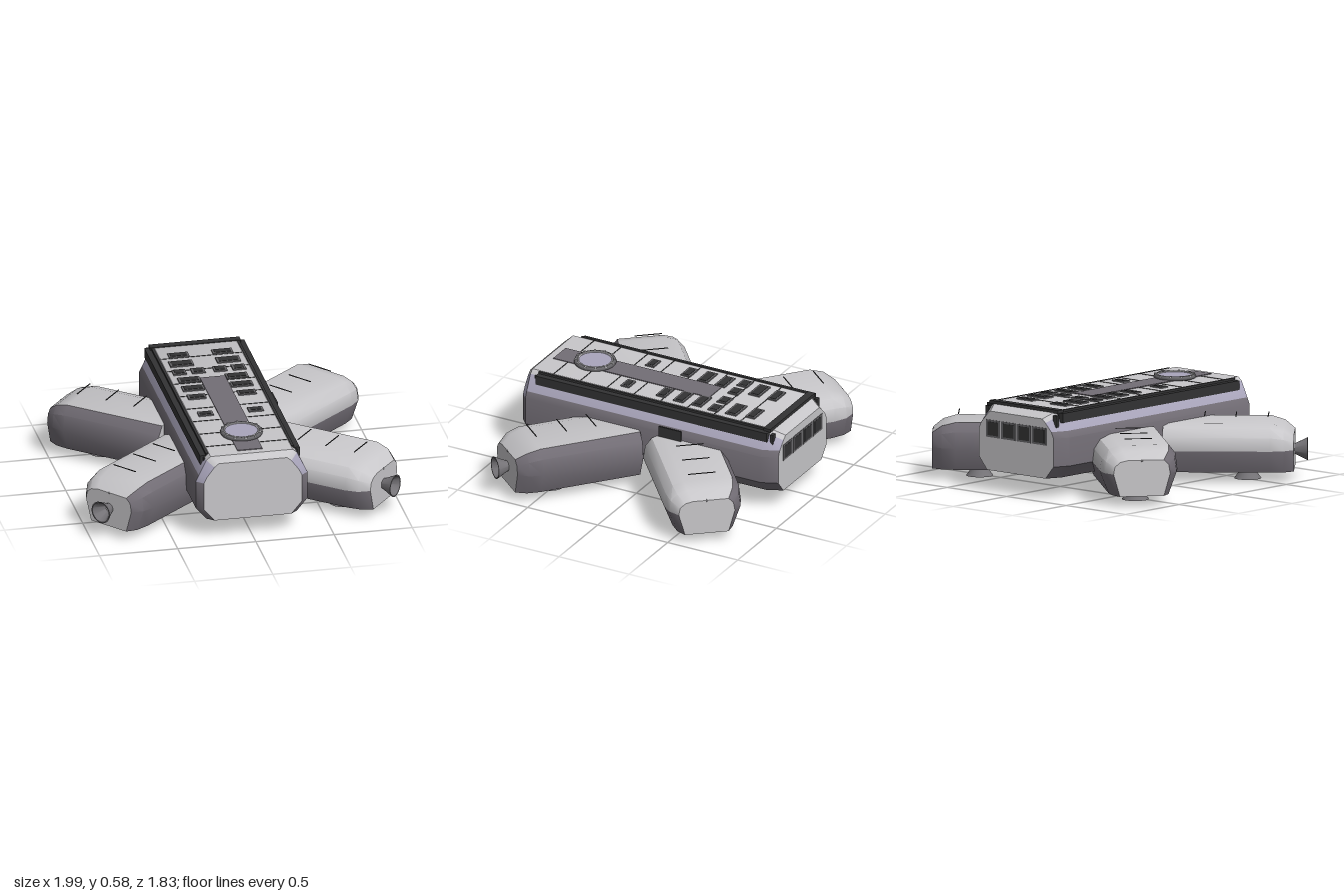
import * as THREE from 'three';
import { toCreasedNormals } from 'three/addons/utils/BufferGeometryUtils.js';

const mat = (name, color, side = THREE.FrontSide) => {
  const m = new THREE.MeshStandardMaterial({ color, side });
  m.name = name;
  return m;
};

export function createModel() {
  const light = mat('light grey panel', 0xc8c7ca);
  const lavender = mat('lavender trim', 0xaaa6bc);
  const hullGrey = mat('purple grey hull', 0x736e76);
  const dark = mat('dark glass and rails', 0x333334);
  const frame = mat('window frame grey', 0x666568);
  const nozzleGrey = mat('nozzle grey', 0x757377, THREE.DoubleSide);

  const root = new THREE.Group();
  root.name = 'starship';

  const add = (parent, name, geo, m, x = 0, y = 0, z = 0) => {
    const mesh = new THREE.Mesh(geo, m);
    mesh.name = name;
    mesh.position.set(x, y, z);
    parent.add(mesh);
    return mesh;
  };
  const box = (parent, name, w, h, d, m, x, y, z) =>
    add(parent, name, new THREE.BoxGeometry(w, h, d), m, x, y, z);

  // Skin a run of [x, y, z] rings; pick(station, edge) gives the colour index
  function loft(rings, pick, capIndex, count) {
    const buckets = Array.from({ length: count }, () => []);
    const n = rings[0].length;
    const tri = (k, ...pts) => pts.forEach((p) => buckets[k].push(...p));
    for (let i = 0; i < rings.length - 1; i++) {
      for (let j = 0; j < n; j++) {
        const k = (j + 1) % n;
        const a = rings[i][j], b = rings[i][k], c = rings[i + 1][k], d = rings[i + 1][j];
        tri(pick(i, j), a, b, c);
        tri(pick(i, j), a, c, d);
      }
    }
    const first = rings[0], last = rings[rings.length - 1];
    for (let j = 1; j < n - 1; j++) {
      tri(capIndex, first[0], first[j + 1], first[j]);
      tri(capIndex, last[0], last[j], last[j + 1]);
    }
    const geo = new THREE.BufferGeometry();
    geo.setAttribute('position', new THREE.Float32BufferAttribute(buckets.flat(), 3));
    let start = 0;
    buckets.forEach((b, k) => {
      geo.addGroup(start, b.length / 3, k);
      start += b.length / 3;
    });
    return toCreasedNormals(geo, 0.55);
  }

  // Main hull: chamfered section with bevelled nose and stern
  const half = [[0.29, 0.13], [0.357, 0.21], [0.357, 0.39], [0.338, 0.43], [0.29, 0.53], [0.262, 0.553]];
  const section = [...half, ...half.slice().reverse().map(([x, y]) => [-x, y])];
  const hullRing = (z, inset, drop) => section.map(([x, y]) =>
    [x - Math.sign(x) * inset, y > 0.5 ? y - drop : y, z]);
  const hullRings = [hullRing(-0.91, 0.044, 0.048), hullRing(-0.81, 0, 0),
    hullRing(0.872, 0, 0), hullRing(0.912, 0.044, 0.035)];
  const hullColour = [0, 0, 0, 1, 2, 2, 2, 1, 0, 0, 0, 0];
  const noseColour = [0, 0, 1, 1, 2, 2, 2, 1, 1, 0, 0, 0];
  add(root, 'hull', loft(hullRings, (i, j) => (i === 2 ? noseColour : hullColour)[j], 2, 3),
    [hullGrey, lavender, light]);

  // Roof: walkway strip and panel seams
  const roofY = 0.553;
  box(root, 'roofStrip', 0.16, 0.006, 1.115, hullGrey, 0, roofY + 0.002, 0.268);
  for (let i = 0; i < 8; i++) {
    box(root, 'roofSeam', 0.52, 0.003, 0.006, dark, 0, roofY + 0.001, -0.615 + i * 0.191);
  }

  // Roof windows: [x, z, width, depth], mirrored
  const roofWindows = [[0.14, -0.647, 0.13, 0.065], [0.15, -0.52, 0.15, 0.078],
    [0.07, -0.395, 0.085, 0.072], [0.19, -0.395, 0.085, 0.072], [0.152, -0.272, 0.14, 0.072],
    [0.155, -0.145, 0.14, 0.072], [0.16, -0.015, 0.115, 0.065], [0.16, 0.245, 0.095, 0.06]];
  for (const s of [-1, 1]) {
    for (const [x, z, w, d] of roofWindows) {
      box(root, 'roofWindowFrame', w, 0.009, d, frame, s * x, roofY + 0.004, z);
      box(root, 'roofWindow', w - 0.024, 0.004, d - 0.024, dark, s * x, roofY + 0.009, z);
    }
    // Stepped side rails with end brackets
    box(root, 'sideRail', 0.04, 0.06, 1.65, dark, s * 0.299, 0.51, -0.005);
    box(root, 'upperRail', 0.016, 0.024, 1.65, dark, s * 0.274, 0.542, -0.005);
    box(root, 'railBracket', 0.03, 0.075, 0.02, dark, s * 0.285, 0.49, -0.855);
    box(root, 'railTip', 0.02, 0.03, 0.02, dark, s * 0.29, 0.515, 0.828);
    // Belly hatches
    for (const z of [-0.6, 0.45]) box(root, 'bellyHatch', 0.03, 0.006, 0.03, light, s * 0.13, 0.128, z);
  }
  box(root, 'rearRail', 0.58, 0.022, 0.05, dark, 0, 0.547, -0.815);

  // Round skylight
  const ring = (name, radius, tube, m, y) => {
    add(root, name, new THREE.TorusGeometry(radius, tube, 8, 32), m, 0, y, 0.57).rotation.x = Math.PI / 2;
  };
  ring('skylightRing', 0.12, 0.014, frame, 0.566);
  ring('skylightTrim', 0.108, 0.005, light, 0.575);
  add(root, 'skylight', new THREE.CylinderGeometry(0.108, 0.112, 0.02, 32), lavender, 0, 0.563, 0.57);
  for (let i = 0; i < 12; i++) {
    const a = (i / 12) * Math.PI * 2;
    const stud = box(root, 'skylightStud', 0.012, 0.01, 0.018, light,
      Math.sin(a) * 0.122, 0.577, 0.57 + Math.cos(a) * 0.122);
    stud.rotation.y = a;
  }

  // Stern windows
  for (const x of [-0.195, -0.065, 0.065, 0.195]) {
    box(root, 'sternWindowFrame', 0.118, 0.11, 0.006, frame, x, 0.395, -0.91);
    box(root, 'sternWindow', 0.088, 0.086, 0.003, dark, x, 0.395, -0.913);
  }

  // Side door and belly aerial
  box(root, 'sideDoor', 0.009, 0.07, 0.16, dark, 0.37, 0.4, -0.168);
  add(root, 'bellyAerial', new THREE.CylinderGeometry(0.003, 0.003, 0.045, 6), frame, 0, 0.11, 0);

  // Pod section, anticlockwise from the lower left; +z points outboard
  const podSection = [[-0.19, 0.065], [0.19, 0.065], [0.245, 0.207], [0.232, 0.31],
    [0.19, 0.365], [-0.12, 0.365], [-0.19, 0.343], [-0.233, 0.29], [-0.245, 0.207]];
  const podRing = (z, wide, top) => podSection.map(([x, y]) =>
    [x * wide, y > 0.207 ? 0.207 + (y - 0.207) * top : y, z]);
  const podRings = [podRing(0.33, 1, 1), podRing(1.0, 1, 1), podRing(1.085, 0.93, 0.85), podRing(1.148, 0.73, 0.55)];
  const podColour = [0, 0, 0, 0, 1, 1, 1, 1, 0];
  const podGeo = loft(podRings, (i, j) => podColour[j], 1, 2);

  // Open bell nozzle, throat at the origin, mouth along -y
  const bell = (throat, mouth, length) => new THREE.LatheGeometry(
    [[0.001, -length * 0.25], [throat * 0.75, -length * 0.25], [mouth * 0.9, -length],
      [mouth, -length], [throat * 1.15, -length * 0.3], [throat, 0]]
      .map(([r, y]) => new THREE.Vector2(r, y)), 24);
  const liftBell = toCreasedNormals(bell(0.045, 0.085, 0.065), 0.5);
  const thrustBell = toCreasedNormals(bell(0.03, 0.072, 0.11), 0.5);

  // Four pods, each a turned copy set slightly towards the middle
  [50, 130, 230, 310].forEach((deg, i) => {
    const forward = i === 0 || i === 3;
    const pod = new THREE.Group();
    pod.name = 'pod';
    pod.rotation.y = THREE.MathUtils.degToRad(deg);
    pod.position.z = forward ? -0.025 : 0.025;
    root.add(pod);
    add(pod, 'podShell', podGeo, [hullGrey, light]);
    for (const z of [0.587, 0.783, 0.985]) {
      box(pod, 'podMarker', 0.175, 0.004, 0.006, dark, 0, 0.403, z);
    }
    add(pod, 'liftNozzleFlange', new THREE.CylinderGeometry(0.11, 0.11, 0.01, 24), hullGrey, 0, 0.062, 0.855);
    add(pod, 'liftNozzle', liftBell, nozzleGrey, 0, 0.065, 0.855);
    add(pod, 'podLamp', new THREE.SphereGeometry(0.009, 8, 6), frame, 0, 0.29, 1.142);
    // Thrusters on the two forward pods
    if (forward) {
      add(pod, 'thruster', thrustBell, nozzleGrey, 0, 0.187, 1.12).rotation.x = -Math.PI / 2;
    }
  });

  return root;
}
